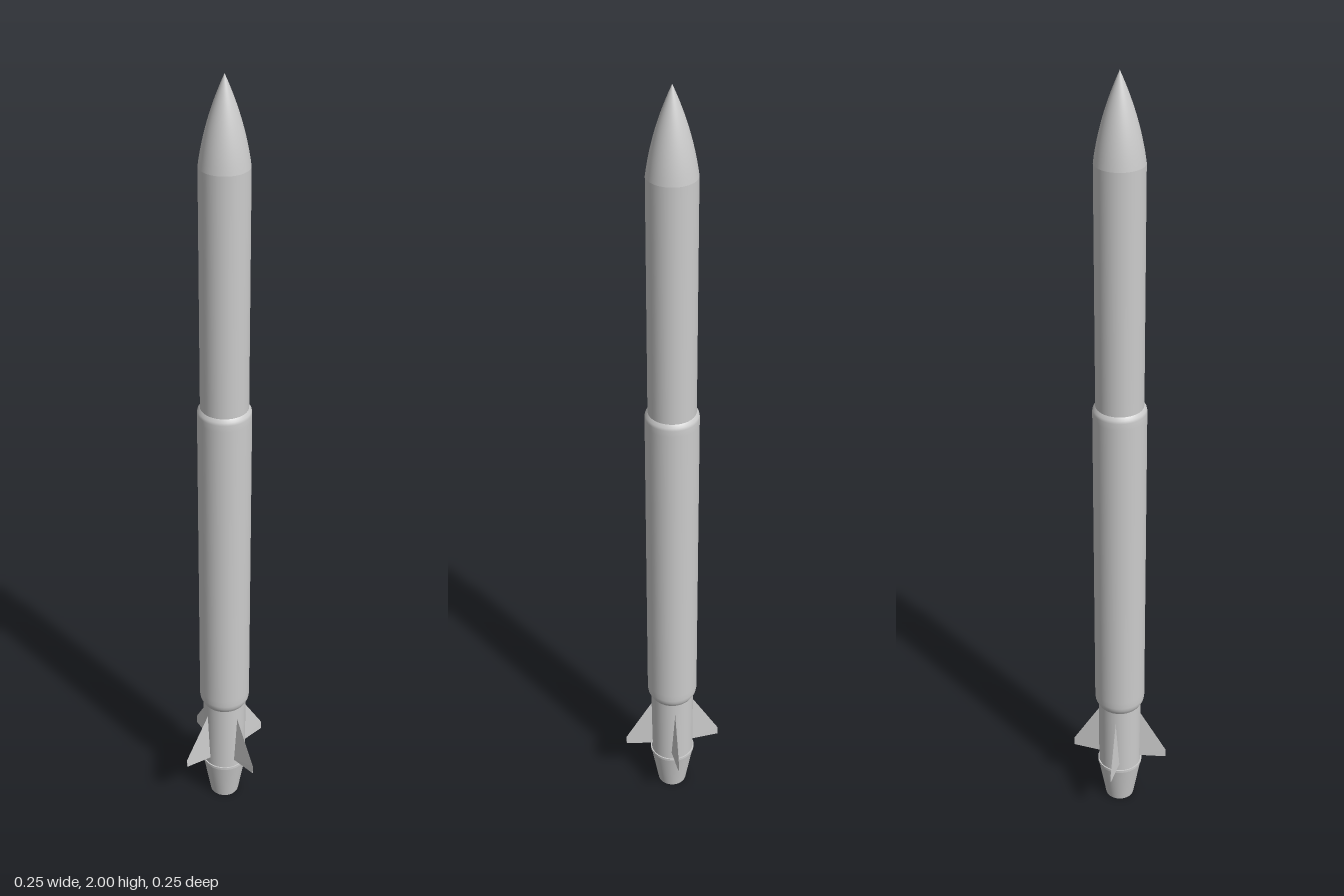
import * as THREE from 'three';

const grey = new THREE.MeshStandardMaterial({ color: 0xcccccc });
const greyOpen = new THREE.MeshStandardMaterial({ color: 0xcccccc, side: THREE.DoubleSide });
const SEGMENTS = 48;

// Revolves each [radius, height] run separately, so corners between runs stay sharp
function revolve(name, runs, material = grey) {
  const part = new THREE.Group();
  part.name = name;
  for (const run of runs) {
    const points = run.map(([r, y]) => new THREE.Vector2(r, y));
    const mesh = new THREE.Mesh(new THREE.LatheGeometry(points, SEGMENTS), material);
    mesh.name = name + 'Surface';
    part.add(mesh);
  }
  return part;
}

// Wedge fin: sharp leading edge, thick trailing edge, thinning toward the tip
function finGeometry() {
  const root = [[0.045, 0.3, 0], [0.045, 0.143, 0.0105], [0.045, 0.143, -0.0105]];
  const tip = [[0.124, 0.166, 0], [0.124, 0.143, 0.001], [0.124, 0.143, -0.001]];
  const geometry = new THREE.BufferGeometry();
  geometry.setAttribute('position', new THREE.Float32BufferAttribute([...root, ...tip].flat(), 3));
  const index = [0, 2, 1, 3, 4, 5];
  for (let i = 0; i < 3; i++) {
    const j = (i + 1) % 3;
    index.push(i, j, i + 3, j, j + 3, i + 3);
  }
  geometry.setIndex(index);
  const flat = geometry.toNonIndexed();
  flat.computeVertexNormals();
  return flat;
}

export function createModel() {
  const model = new THREE.Group();
  model.name = 'rocket';

  // Pointed ogive nose
  const nose = [];
  for (let i = 0; i <= 12; i++) {
    const t = i / 12;
    nose.push([0.057 * (1 - 0.45 * t - 0.55 * t * t), 1.8 + 0.2 * t]);
  }
  model.add(revolve('noseCone', [nose]));

  // Slim upper stage and wider booster with softly rounded shoulders
  model.add(revolve('upperStage', [[[0.057, 1.2], [0.057, 1.8]]]));
  model.add(revolve('booster', [[
    [0.055, 0.318], [0.059, 0.325], [0.0625, 0.332], [0.064, 0.342], [0.064, 0.36],
    [0.064, 1.18], [0.064, 1.197], [0.0625, 1.204], [0.057, 1.211],
  ]]));

  // Tail section carrying the fins, ending in a raised rim with a flat underside
  model.add(revolve('tailSection', [
    [[0.055, 0.12], [0.055, 0.33]],
    [[0, 0.114], [0.058, 0.114]],
    [[0.058, 0.114], [0.058, 0.121]],
    [[0.058, 0.121], [0.055, 0.121]],
  ]));

  // Tapered nozzle, open at the bottom
  model.add(revolve('nozzle', [[[0.037, 0], [0.0565, 0.114]]], greyOpen));

  // Four fins around the tail
  const geometry = finGeometry();
  for (let i = 0; i < 4; i++) {
    const fin = new THREE.Mesh(geometry, grey);
    fin.name = 'fin' + (i + 1);
    fin.rotation.y = i * Math.PI / 2;
    model.add(fin);
  }
  return model;
}
